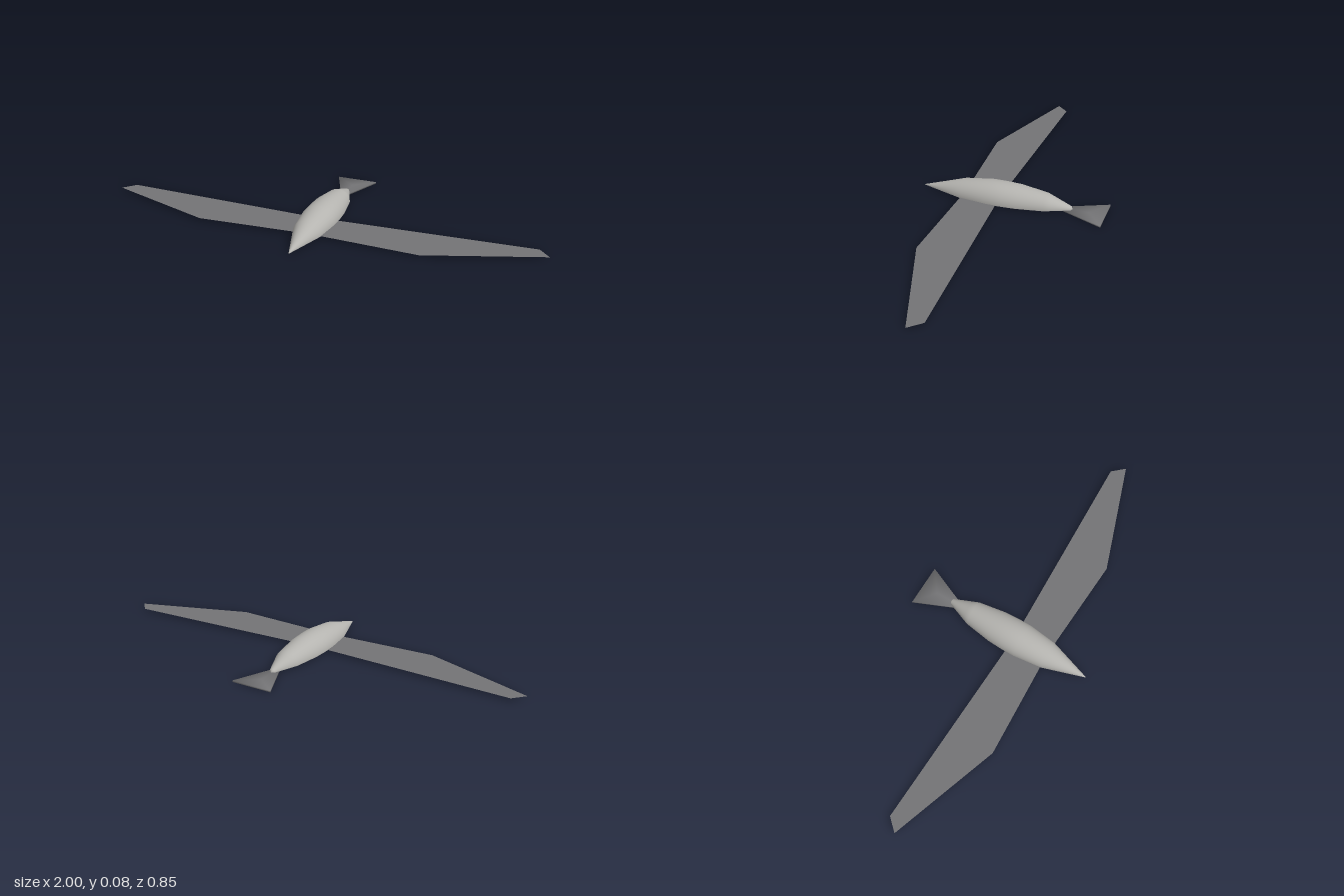
import * as THREE from 'three';

export function createModel() {
  const model = new THREE.Group();
  const paleGrey = new THREE.MeshStandardMaterial({ color: 0xb5b4b0 });
  const darkGrey = new THREE.MeshStandardMaterial({ color: 0x747476, side: THREE.DoubleSide });

  const add = (name, geometry, material, y) => {
    const mesh = new THREE.Mesh(geometry, material);
    mesh.name = name;
    mesh.position.y = y;
    model.add(mesh);
    return mesh;
  };
  // Flat outline given as [x, z] pairs, laid facing up
  const flat = (points) => new THREE.ShapeGeometry(
    new THREE.Shape(points.map(([x, z]) => new THREE.Vector2(x, -z)))
  ).rotateX(-Math.PI / 2);

  // Fuselage: upper half of a spindle, as [radius, z] from tail to nose
  const profile = [
    [0, -0.275], [0.013, -0.268], [0.045, -0.18], [0.054, -0.155], [0.072, -0.03],
    [0.075, 0.04], [0.075, 0.1], [0.06, 0.23], [0.028, 0.335], [0.002, 0.42], [0, 0.423],
  ];
  const width = 1.06;
  const body = new THREE.LatheGeometry(
    profile.map(([r, z]) => new THREE.Vector2(r, z)), 24, Math.PI / 2, Math.PI
  );
  body.rotateX(Math.PI / 2).scale(width, 1, 1);
  // Keep the dome on the upper side
  body.computeBoundingBox();
  if (body.boundingBox.max.y < 0.01) body.rotateZ(Math.PI);
  add('fuselage', body, paleGrey, 0.009);

  // Flat underside
  const right = profile.map(([r, z]) => [r * width, z]);
  const left = profile.slice(1, -1).reverse().map(([r, z]) => [-r * width, z]);
  add('belly', flat([...right, ...left]), darkGrey, 0.008);

  // Thin wings, mirrored
  const wing = [[0, 0.06], [0.5, 0.04], [0.95, 0.022], [1, 0.077], [0.5, 0.25], [0, 0.225]];
  for (const side of [1, -1]) {
    const outline = wing.map(([x, z]) => [x * side, z]);
    add(side > 0 ? 'leftWing' : 'rightWing', flat(outline), darkGrey, 0.01);
  }

  // Tail: thin triangular fan with rounded-looking normals
  const tail = new THREE.CylinderGeometry(1, 1, 0.007, 3);
  tail.scale(0.095 / (Math.sqrt(3) / 2), 1, 0.222 / 1.5);
  const p = tail.attributes.position, n = tail.attributes.normal;
  for (let i = 0; i < p.count; i++) {
    const v = new THREE.Vector3(p.getX(i), 0, p.getZ(i)).normalize();
    v.y = Math.sign(p.getY(i));
    v.normalize();
    n.setXYZ(i, v.x, v.y, v.z);
  }
  add('tail', tail, darkGrey, 0.0035).position.z = -0.349;

  return model;
}
